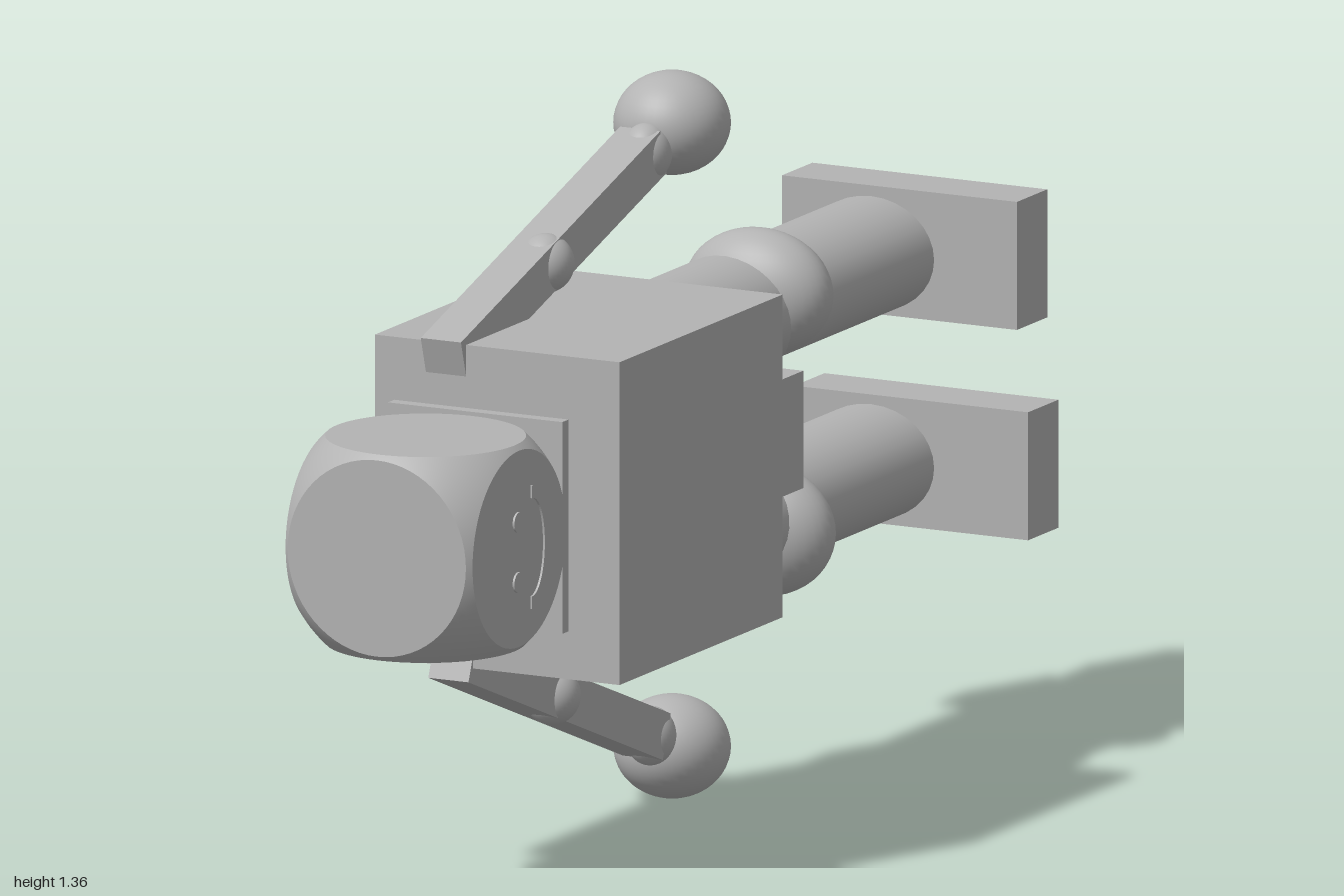
import * as THREE from 'three';

export function createModel() {
  const model = new THREE.Group();
  const grey = new THREE.MeshStandardMaterial({ color: 0xb3b3b3 });
  grey.name = 'grey';

  const add = (name, geometry, parent = model) => {
    const mesh = new THREE.Mesh(geometry, grey);
    mesh.name = name;
    parent.add(mesh);
    return mesh;
  };
  // Box given by its extents on each axis
  const box = (name, [x0, x1], [y0, y1], [z0, z1]) =>
    add(name, new THREE.BoxGeometry(x1 - x0, y1 - y0, z1 - z0))
      .position.set((x0 + x1) / 2, (y0 + y1) / 2, (z0 + z1) / 2);
  const ball = (name, pos, radii) => {
    const g = new THREE.SphereGeometry(1, 40, 24).scale(...radii);
    add(name, g).position.set(...pos);
  };

  // Body
  box('torso', [-0.29, 0.215], [0.42, 1.025], [-0.05, 0.595]);
  box('collar', [-0.25, 0.11], [0.51, 0.907], [0.595, 0.62]);
  box('pelvis', [-0.243, 0.14], [0.61, 0.83], [-0.275, -0.05]);

  // Head: a cube rounded off by a sphere, leaving six flat discs
  const head = new THREE.Group();
  head.name = 'head';
  head.position.set(-0.075, 0.707, 0.806);
  model.add(head);
  const half = 0.193, discR = 0.184, R = Math.hypot(half, discR);
  const roundedRim = () => {
    const seg = 64, rings = 4, pos = [], nor = [], idx = [];
    for (let j = 0; j <= rings; j++) {
      for (let i = 0; i <= seg; i++) {
        const a = (i / seg) * Math.PI * 2, c = Math.cos(a), s = Math.sin(a);
        const edge = half / Math.max(Math.abs(c), Math.abs(s));
        const r = THREE.MathUtils.lerp(discR, edge, j / rings);
        const n = new THREE.Vector3(c * r, s * r, half).normalize();
        nor.push(n.x, n.y, n.z);
        pos.push(n.x * R, n.y * R, n.z * R);
        if (i < seg && j < rings) {
          const p = j * (seg + 1) + i, q = p + seg + 1;
          idx.push(p, q, p + 1, q, q + 1, p + 1);
        }
      }
    }
    const g = new THREE.BufferGeometry();
    g.setAttribute('position', new THREE.Float32BufferAttribute(pos, 3));
    g.setAttribute('normal', new THREE.Float32BufferAttribute(nor, 3));
    g.setIndex(idx);
    return g;
  };
  const quarter = Math.PI / 2;
  const turns = [[0, 0], [0, quarter], [0, 2 * quarter], [0, -quarter], [quarter, 0], [-quarter, 0]];
  for (const [rx, ry] of turns) {
    const place = g => g.rotateX(rx).rotateY(ry);
    add('headFlat', place(new THREE.CircleGeometry(discR, 64).translate(0, 0, half)), head);
    add('headRounding', place(roundedRim()), head);
  }

  // Face: thin plates just off the head, looking towards +x
  const plate = (name, shape) => {
    const g = new THREE.ExtrudeGeometry(shape, { depth: 0.004, bevelEnabled: false, curveSegments: 24 });
    add(name, g.rotateY(quarter)).position.x = 0.138;
  };
  for (const y of [0.655, 0.768]) {
    plate('eye', new THREE.Shape().absarc(-0.851, y, 0.019, 0, Math.PI * 2, false));
  }
  const mouth = new THREE.Shape();
  mouth.absellipse(-0.8, 0.711, 0.075, 0.116, -quarter, quarter, false);
  mouth.absellipse(-0.8, 0.711, 0.05, 0.092, quarter, -quarter, true);
  plate('mouth', mouth);

  // Legs
  const leg = (side, y, knee, kneeR, footX, footY) => {
    const g = new THREE.CylinderGeometry(1, 1, 0.84, 32).rotateX(quarter).scale(0.13, 0.107, 1);
    add(side + 'Leg', g).position.set(-0.036, y, -0.47);
    ball(side + 'Knee', knee, kneeR);
    box(side + 'Foot', footX, footY, [-1, -0.88]);
  };
  leg('left', 0.913, [-0.005, 0.945, -0.376], [0.147, 0.118, 0.092], [-0.22, 0.265], [0.8, 1.04]);
  leg('right', 0.523, [0, 0.5, -0.376], [0.147, 0.125, 0.092], [-0.195, 0.288], [0.408, 0.648]);

  // Arms: a slanted bar with elbow, wrist and hand balls
  const arm = (side, from, to, elbow, wrist, hand) => {
    const a = new THREE.Vector3(...from), b = new THREE.Vector3(...to);
    const bar = add(side + 'Arm', new THREE.BoxGeometry(0.083, 0.087, a.distanceTo(b)));
    bar.position.copy(a).lerp(b, 0.5);
    bar.lookAt(b);
    ball(side + 'Elbow', elbow, [0.053, 0.055, 0.053]);
    ball(side + 'Wrist', wrist, [0.047, 0.055, 0.05]);
    ball(side + 'Hand', hand, [0.108, 0.096, 0.107]);
  };
  arm('left', [-0.143, 0.992, 0.603], [-0.143, 1.233, -0.185],
    [-0.13, 1.103, 0.226], [-0.134, 1.23, -0.18], [-0.135, 1.266, -0.283]);
  arm('right', [-0.129, 0.438, 0.597], [-0.129, 0.141, -0.171],
    [-0.116, 0.295, 0.228], [-0.125, 0.138, -0.178], [-0.135, 0.097, -0.283]);

  return model;
}
